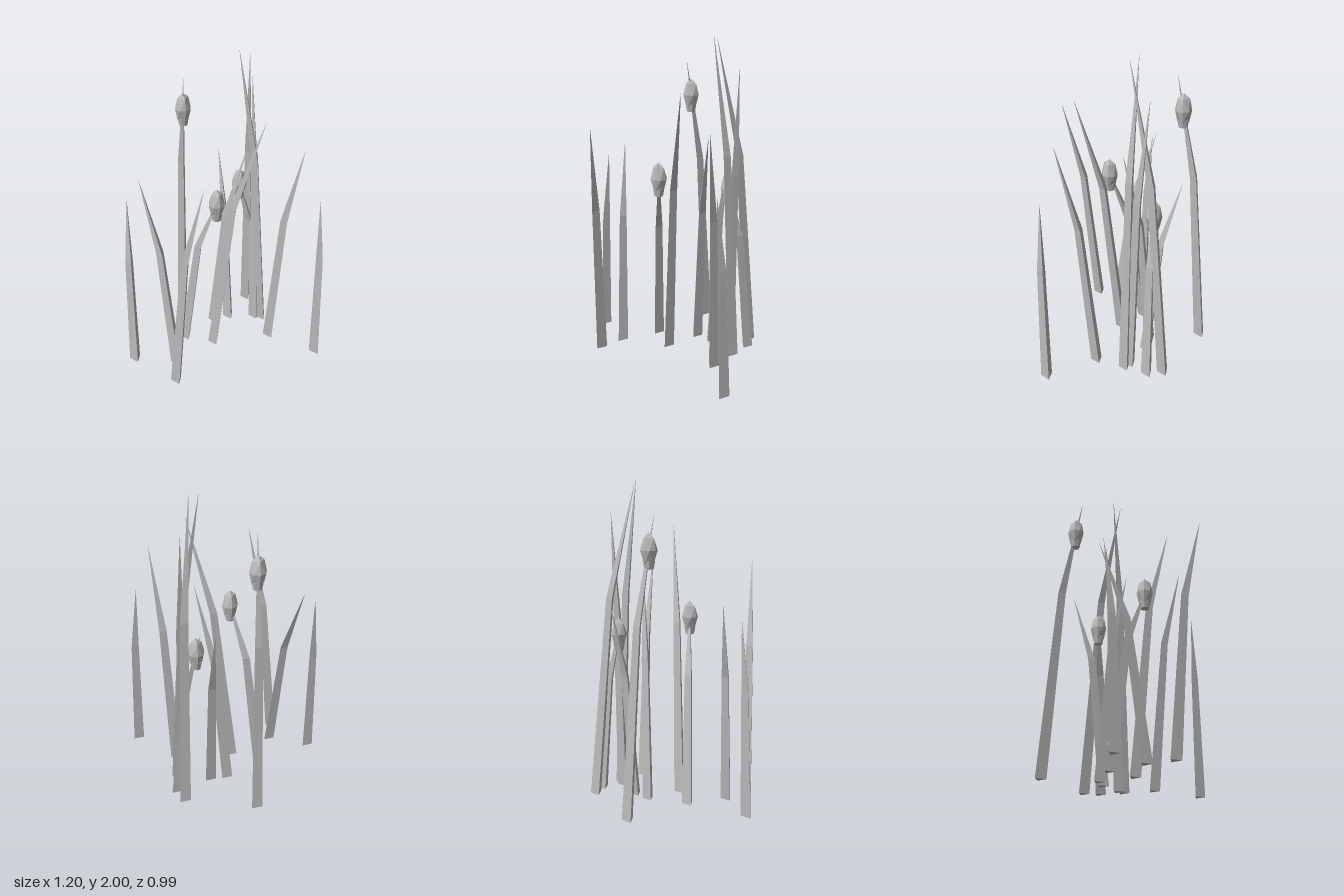
import * as THREE from 'three';

const BASE = 0.005;   // foot of every blade
const BEND = 0.645;   // share of the height where a blade kinks
const SWAY = 0.41;    // share of the lean reached at the kink

// base x, base z, tip x, tip z, height, [bulb height]
const REEDS = [
  [-0.57, 0.004, -0.54, -0.05, 1.21],
  [0.565, 0.412, 0.505, 0.411, 1.2],
  [-0.33, 0.145, -0.445, -0.1, 1.29],
  [-0.39, 0.3, -0.27, 0.49, 1.5],
  [-0.18, -0.067, -0.02, 0.16, 1.25, 1.155],
  [-0.025, 0.057, 0.198, 0.275, 1.71],
  [0.068, -0.158, 0.22, -0.01, 1.4],
  [0.18, -0.15, 0.185, -0.355, 1.25],
  [-0.04, -0.48, -0.08, -0.27, 1.81, 1.6],
  [0.388, -0.298, 0.247, -0.055, 1.98],
  [0.42, -0.2, 0.235, -0.2, 1.17, 1.06],
  [0.388, -0.05, 0.2, -0.097, 2.0],
  [0.348, -0.078, 0.33, -0.183, 1.8],
  [0.353, 0.14, 0.42, 0.34, 1.52],
];

// flat facets
function facet(geo) {
  const g = geo.index ? geo.toNonIndexed() : geo;
  g.computeVertexNormals();
  return g;
}

// centre line of a blade at share t of its height
function centre([bx, bz, tx, tz, h], t) {
  const s = t < BEND ? (t / BEND) * SWAY : SWAY + ((t - BEND) / (1 - BEND)) * (1 - SWAY);
  return new THREE.Vector3(bx + (tx - bx) * s, BASE + (h - BASE) * t, bz + (tz - bz) * s);
}

// three-sided blade, kinked once and tapering to a point
function bladeGeometry(reed) {
  const geo = new THREE.CylinderGeometry(0.04, 0.04, 1, 3, 2);
  const p = geo.attributes.position;
  for (let i = 0; i < p.count; i++) {
    const v = p.getY(i);
    const [t, scale] = v < -0.25 ? [0, 1] : v < 0.25 ? [BEND, 0.7] : [1, 0.02];
    const c = centre(reed, t);
    p.setXYZ(i, c.x + p.getX(i) * scale, c.y, c.z + p.getZ(i) * scale);
  }
  return facet(geo);
}

export function createModel() {
  const model = new THREE.Group();
  model.name = 'reeds';
  const grey = new THREE.MeshStandardMaterial({ color: 0xb8b8b8 });
  grey.name = 'grey';

  const budGeo = facet(new THREE.OctahedronGeometry(1, 1).scale(0.051, 0.102, 0.051));
  const cupGeo = facet(new THREE.CylinderGeometry(0.036, 0.027, 0.05, 8).translate(0, -0.083, 0));

  for (const reed of REEDS) {
    const group = new THREE.Group();
    group.name = 'reed';
    const add = (geo, name) => {
      const mesh = new THREE.Mesh(geo, grey);
      mesh.name = name;
      group.add(mesh);
      return mesh;
    };
    add(bladeGeometry(reed), 'blade');

    // seed head near the tip of some blades
    if (reed[5]) {
      const c = centre(reed, (reed[5] - BASE) / (reed[4] - BASE));
      add(budGeo, 'seedHead').position.copy(c);
      add(cupGeo, 'seedHeadCup').position.copy(c);
    }
    model.add(group);
  }
  return model;
}
